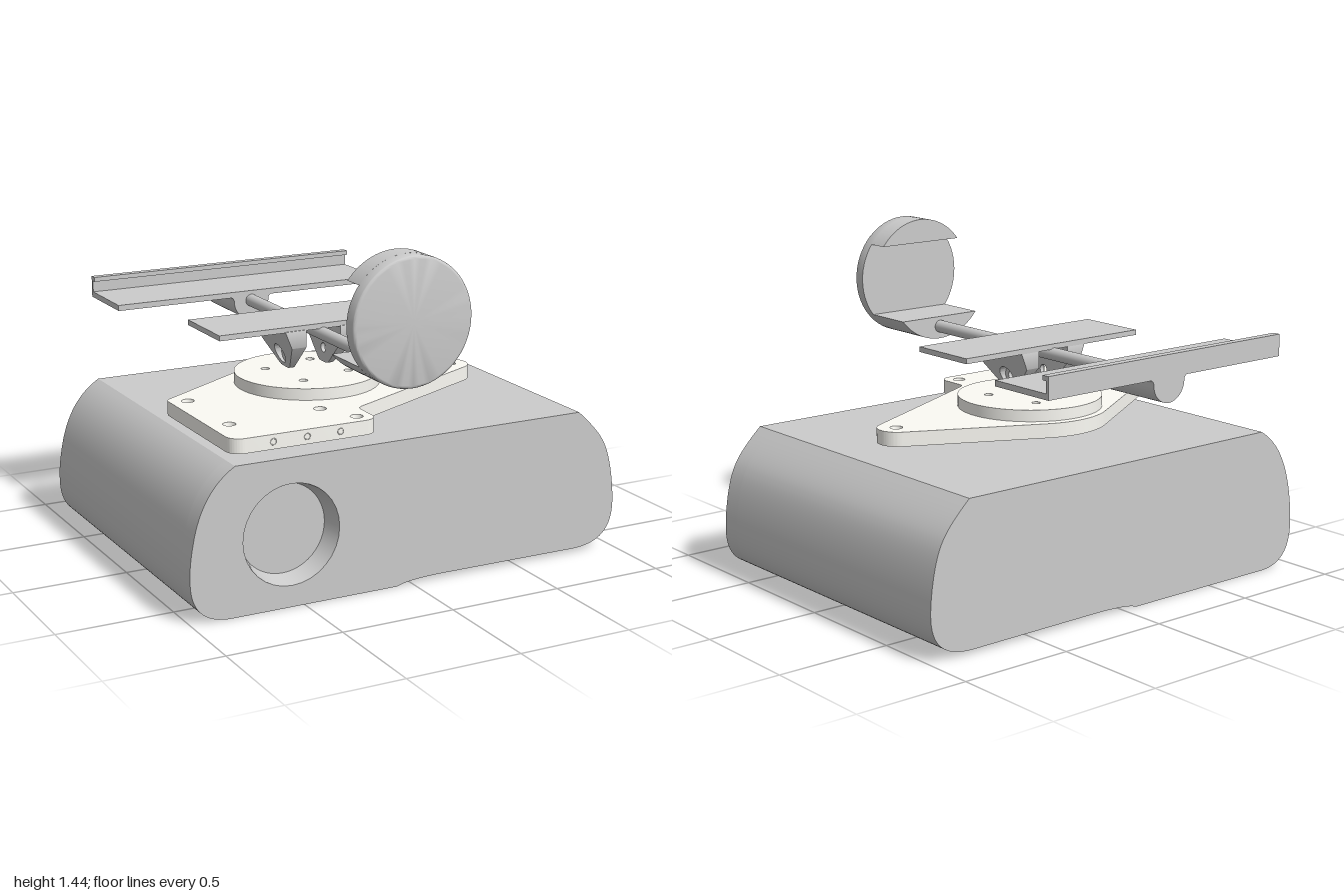
import * as THREE from 'three';
import { toCreasedNormals } from 'three/addons/utils/BufferGeometryUtils.js';

const grey = new THREE.MeshStandardMaterial({ color: 0xcccccc });
const greyOpen = new THREE.MeshStandardMaterial({ color: 0xcccccc, side: THREE.DoubleSide });
const ivory = new THREE.MeshStandardMaterial({ color: 0xfcfbf5 });
const ivoryOpen = new THREE.MeshStandardMaterial({ color: 0xfcfbf5, side: THREE.DoubleSide });
const AXIS = -0.133; // x of the rod and everything mounted on it
const V = (x, y) => new THREE.Vector2(x, y);

export function createModel() {
  const model = new THREE.Group();

  const add = (name, geo, mat, x = 0, y = 0, z = 0, parent = model) => {
    const mesh = new THREE.Mesh(geo, mat);
    mesh.name = name;
    mesh.position.set(x, y, z);
    parent.add(mesh);
    return mesh;
  };
  const extrude = (shape, depth, segs = 24) => toCreasedNormals(
    new THREE.ExtrudeGeometry(shape, { depth, bevelEnabled: false, curveSegments: segs }), 0.5);
  const circle = (x, y, r) => new THREE.Path().absarc(x, y, r, 0, Math.PI * 2, true);
  const box = (name, x0, x1, y0, y1, z0, z1) => add(name,
    new THREE.BoxGeometry(x1 - x0, y1 - y0, z1 - z0), grey, (x0 + x1) / 2, (y0 + y1) / 2, (z0 + z1) / 2);

  // polygon whose corners [x, y, r] are rounded by true arcs
  const roundedShape = (corners) => {
    const shape = new THREE.Shape();
    const n = corners.length;
    corners.forEach(([x, y, r], i) => {
      const [px, py] = corners[(i + n - 1) % n], [qx, qy] = corners[(i + 1) % n];
      const c = V(x, y), a = V(px - x, py - y).normalize(), b = V(qx - x, qy - y).normalize();
      const half = Math.acos(a.dot(b)) / 2;
      const centre = a.clone().add(b).normalize().multiplyScalar(r / Math.sin(half)).add(c);
      const t = r / Math.tan(half);
      const s = a.clone().multiplyScalar(t).add(c).sub(centre), e = b.clone().multiplyScalar(t).add(c).sub(centre);
      if (i === 0) shape.moveTo(centre.x + s.x, centre.y + s.y);
      shape.absarc(centre.x, centre.y, r, s.angle(), e.angle(), s.cross(e) < 0);
    });
    shape.closePath();
    return shape;
  };

  // housing: one cross-section, solid behind and pierced for the lens in front
  const housingShape = () => {
    const s = new THREE.Shape();
    s.moveTo(-0.8, 0.63);
    s.bezierCurveTo(-0.92, 0.56, -0.965, 0.44, -0.985, 0.33);
    s.bezierCurveTo(-1.0, 0.25, -1.0, 0.22, -1.0, 0.18);
    s.bezierCurveTo(-1.0, 0.06, -0.94, 0, -0.82, 0);
    s.lineTo(-0.07, 0);
    s.bezierCurveTo(-0.04, 0.015, 0.05, 0.021, 0.16, 0.021);
    s.lineTo(0.8, 0.018);
    s.bezierCurveTo(0.94, 0.02, 1.0, 0.08, 1.0, 0.2);
    s.bezierCurveTo(1.0, 0.26, 0.985, 0.4, 0.945, 0.475);
    s.bezierCurveTo(0.92, 0.525, 0.87, 0.575, 0.81, 0.63);
    s.closePath();
    return s;
  };
  const recess = 0.09, lensX = -0.555, lensY = 0.307;
  add('housing', extrude(housingShape(), 1.46 - recess, 16), grey, 0, 0, -0.788);
  const front = housingShape();
  front.holes.push(circle(lensX, lensY, 0.215));
  add('housingFront', extrude(front, recess, 16), grey, 0, 0, 0.672 - recess);
  const cone = new THREE.CylinderGeometry(0.215, 0.192, recess, 48, 1, true).rotateX(Math.PI / 2);
  add('lensRecess', cone, greyOpen, lensX, lensY, 0.672 - recess / 2);

  // mounting plate, outlined in (x, -z), with countersunk holes
  const plate = roundedShape([
    [-0.787, 0.035, 0.04], [-0.787, -0.615, 0.06], [-0.13, -0.615, 0.06], [-0.13, -0.435, 0.04],
    [0.765, 0, 0.09], [-0.132, 0.44, 0.35],
  ]);
  const plateHoles = [[-0.71, 0.015], [-0.7, 0.405], [-0.275, 0.375], [-0.195, 0.545], [0.57, 0]];
  plateHoles.forEach(([x, z]) => {
    plate.holes.push(circle(x, -z, 0.027));
    const sink = new THREE.CylinderGeometry(0.027, 0.013, 0.06, 20, 1, true);
    add('countersink', sink, ivoryOpen, x, 0.686, z);
  });
  add('mountingPlate', extrude(plate, 0.062).rotateX(-Math.PI / 2), ivory, 0, 0.655, 0);
  for (const x of [-0.605, -0.455, -0.305])
    add('edgeHoleRim', new THREE.TorusGeometry(0.013, 0.002, 6, 20), ivory, x, 0.686, 0.615);

  // turntable disc with four holes
  const disc = new THREE.Shape().absarc(0, 0, 0.315, 0, Math.PI * 2, false);
  for (let i = 0; i < 4; i++) {
    const a = 1.02 + i * Math.PI / 2;
    disc.holes.push(circle(0.18 * Math.cos(a), 0.18 * Math.sin(a), 0.019));
  }
  add('turntable', extrude(disc, 0.05, 64).rotateX(-Math.PI / 2), ivory, -0.125, 0.717, -0.04);

  // centre platform and its pair of tapered lugs
  box('platform', -0.613, 0.347, 0.987, 1.01, -0.19, 0.13);
  const bracket = new THREE.Group();
  bracket.name = 'lugBracket';
  bracket.position.set(AXIS, 0, -0.026);
  model.add(bracket);
  const lugShape = roundedShape([
    [-0.16, 0.99, 0.001], [-0.16, 0.915, 0.002], [-0.02, 0.787, 0.045],
    [0.02, 0.787, 0.045], [0.16, 0.915, 0.002], [0.16, 0.99, 0.001],
  ].map(([x, y, r]) => (Math.abs(x) < 0.1 ? [x * 2, y + 0.01, 0.04] : [x, y, r])));
  lugShape.holes.push(circle(0, 0.86, 0.042));
  const lug = new THREE.ExtrudeGeometry(lugShape, { depth: 1, bevelEnabled: false, curveSegments: 20 })
    .rotateY(Math.PI / 2);
  const p = lug.attributes.position;
  for (let i = 0; i < p.count; i++) {
    const outer = 0.103 + (p.getY(i) - 0.8) * 0.4;
    p.setX(i, 0.081 + p.getX(i) * (outer - 0.081));
  }
  const washer = new THREE.Shape().absarc(0, 0.86, 0.042, 0, Math.PI * 2, false);
  washer.holes.push(circle(0, 0.86, 0.021));
  const lugGeo = toCreasedNormals(lug, 0.5);
  const washerGeo = extrude(washer, 0.018).rotateY(Math.PI / 2);
  for (const side of [-1, 1]) {
    const half = new THREE.Group();
    half.scale.x = side;
    bracket.add(half);
    add('lug', lugGeo, grey, 0, 0, 0, half);
    add('lugPinSeat', washerGeo, grey, 0.081, 0, 0, half);
  }

  // rod running front to back
  add('rod', new THREE.CylinderGeometry(0.028, 0.028, 1.24, 32).rotateX(Math.PI / 2), grey, AXIS, 0.965, 0.02);

  // round front shield with an upper and a lower segment behind it
  const R = 0.266, cy = 1.175;
  const profile = [V(0, 0), V(R, 0), V(R, 0.043)];
  for (let i = 1; i <= 5; i++) {
    const a = i * Math.PI / 10;
    profile.push(V(R - 0.015 + 0.015 * Math.cos(a), 0.043 + 0.015 * Math.sin(a)));
  }
  profile.push(V(0, 0.058));
  const shield = toCreasedNormals(new THREE.LatheGeometry(profile, 64).rotateX(Math.PI / 2), 0.5);
  add('frontShield', shield, grey, AXIS, cy, 0.837);
  const segment = (name, chord, z0) => {
    const a = Math.asin(chord / R);
    const s = new THREE.Shape();
    if (chord > 0) s.absarc(0, 0, R, a, Math.PI - a, false);
    else s.absarc(0, 0, R, Math.PI - a, Math.PI * 2 + a, false);
    s.closePath();
    add(name, extrude(s, 0.84 - z0, 32), grey, AXIS, cy, z0);
  };
  segment('upperLip', 0.16, 0.745);
  segment('lowerMount', -0.165, 0.607);

  // rear tray with a hooked lip and a filleted socket below
  box('tray', -0.775, 0.508, 0.985, 1.01, -0.895, -0.575);
  box('trayWall', -0.775, 0.508, 1.01, 1.08, -0.895, -0.88);
  box('trayHook', -0.775, 0.508, 1.06, 1.08, -0.88, -0.86);
  const socket = new THREE.Shape();
  socket.moveTo(-0.115, 0.99);
  socket.quadraticCurveTo(-0.085, 0.985, -0.085, 0.965);
  socket.absarc(0, 0.965, 0.085, Math.PI, Math.PI * 2, false);
  socket.quadraticCurveTo(0.085, 0.985, 0.115, 0.99);
  socket.closePath();
  add('traySocket', extrude(socket, 0.32), grey, AXIS, 0, -0.895);

  return model;
}
